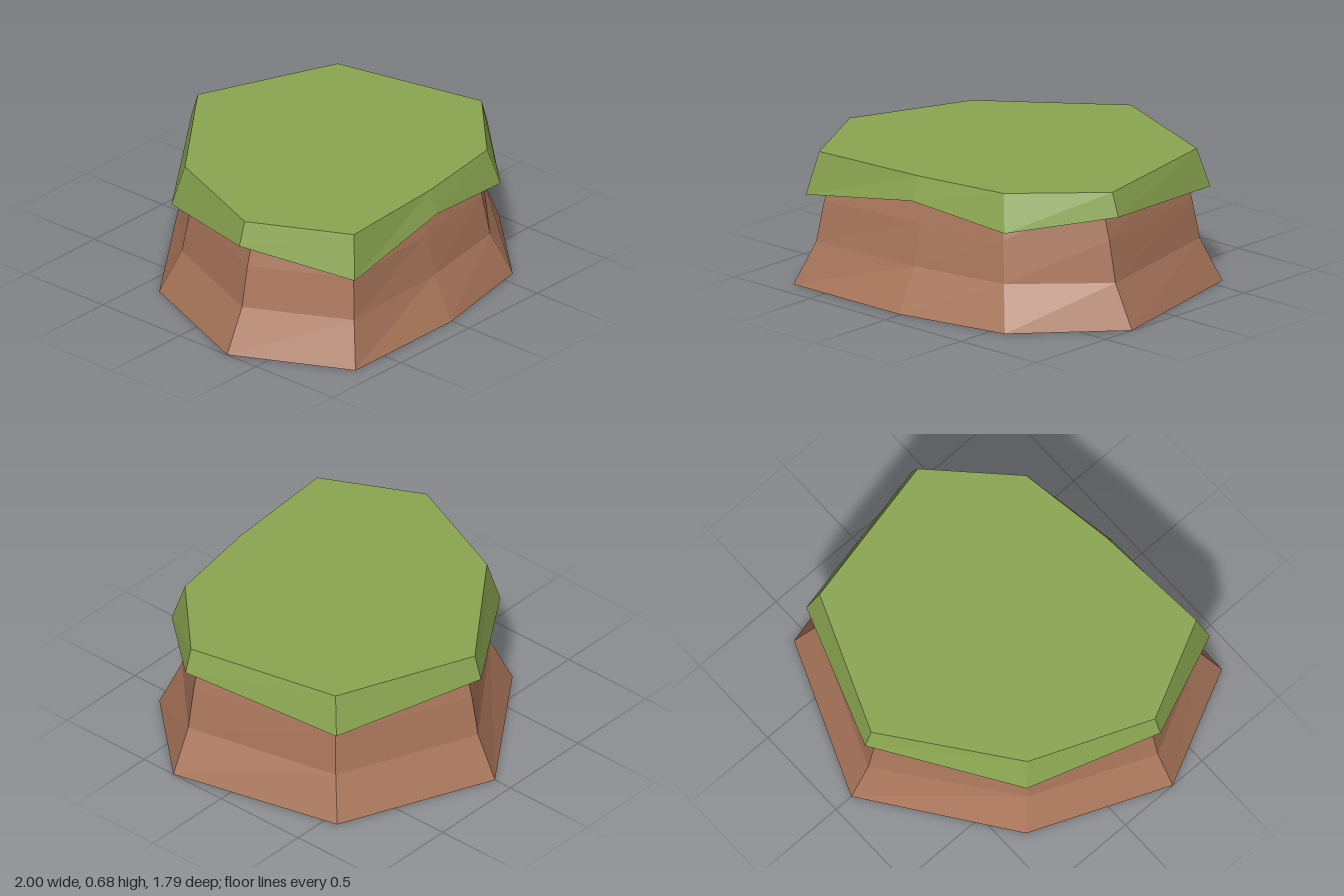
import * as THREE from 'three';

// Footprint corners, clockwise seen from above, starting at the back: [x, z]
const base = [[0, -0.9], [0.79, -0.57], [1, 0.31], [0.58, 0.77], [-0.01, 0.89], [-0.71, 0.89], [-1, 0.31], [-0.71, -0.39]];
// Heights of the grass fringe at each corner
const fringe = [0.56, 0.485, 0.56, 0.495, 0.56, 0.46, 0.56, 0.475];

// Ring of points pulled inward by d; each corner moves along its own 45 degree direction
function ring(d, height) {
  return base.map(([x, z], i) => {
    const a = i * Math.PI / 4;
    return [x - d * Math.sin(a), height(i), z + d * Math.cos(a)];
  });
}

// Flat-faced bands between successive rings, with an optional lid on the last one
function loft(rings, lid) {
  const p = [];
  const n = base.length;
  for (let r = 0; r < rings.length - 1; r++) {
    const lo = rings[r], hi = rings[r + 1];
    for (let i = 0; i < n; i++) {
      const j = (i + 1) % n;
      p.push(...lo[j], ...lo[i], ...hi[i], ...lo[j], ...hi[i], ...hi[j]);
    }
  }
  if (lid) {
    const top = rings[rings.length - 1];
    for (let i = 0; i < n; i++) p.push(0, top[0][1], 0, ...top[(i + 1) % n], ...top[i]);
  }
  const g = new THREE.BufferGeometry();
  g.setAttribute('position', new THREE.Float32BufferAttribute(p, 3));
  g.computeVertexNormals();
  return g;
}

export function createModel() {
  const earth = new THREE.MeshStandardMaterial({ color: 0xaa765b, flatShading: true, side: THREE.DoubleSide });
  earth.name = 'earth';
  const grass = new THREE.MeshStandardMaterial({ color: 0x8aa550, flatShading: true, side: THREE.DoubleSide });
  grass.name = 'grass';

  const model = new THREE.Group();
  model.name = 'grassyMound';

  // Flared earth walls, open underneath
  const steps = [[0, 0], [0.11, 0.22], [0.15, 0.43], [0.21, 0.65]];
  const walls = new THREE.Mesh(loft(steps.map(([d, y]) => ring(d, () => y)), false), earth);
  walls.name = 'earthWalls';

  // Grass cap with a zigzag overhanging fringe
  const lower = ring(0, (i) => fringe[i]);
  const upper = ring(0, () => 0.68);
  lower.forEach((v, i) => inset(v, i, i % 2 ? 0.06 : 0.09));
  upper.forEach((v, i) => inset(v, i, i % 2 ? 0.125 : 0.13));
  const cap = new THREE.Mesh(loft([lower, upper], true), grass);
  cap.name = 'grassCap';

  model.add(walls, cap);
  return model;
}

// Moves one ring point inward
function inset(v, i, d) {
  const a = i * Math.PI / 4;
  v[0] -= d * Math.sin(a);
  v[2] += d * Math.cos(a);
}
